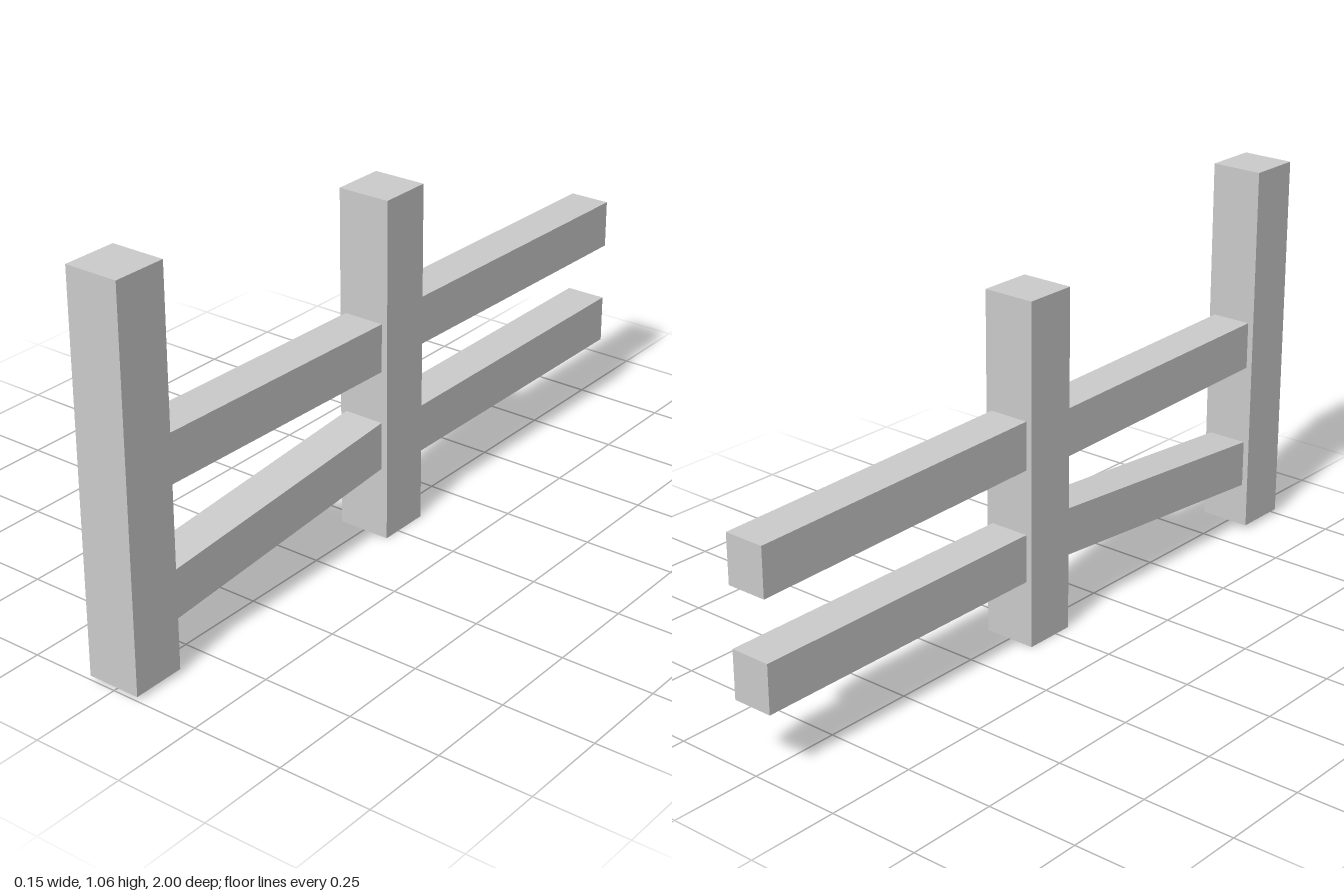
import * as THREE from 'three';

const material = new THREE.MeshStandardMaterial({ color: 0xcccccc, flatShading: true, side: THREE.DoubleSide });

// Box side numbers, in the order BoxGeometry stores them (6 indices per side)
const BOTTOM = 3, FRONT = 4, BACK = 5;

// A box without the listed sides
function openBox(w, h, d, missing) {
  const g = new THREE.BoxGeometry(w, h, d);
  const index = Array.from(g.index.array);
  g.setIndex(index.filter((_, i) => !missing.includes(Math.floor(i / 6))));
  g.clearGroups();
  return g;
}

// Upright post, open underneath
function post(name, z, bottom, top) {
  const mesh = new THREE.Mesh(openBox(0.148, top - bottom, 0.148, [BOTTOM]), material);
  mesh.name = name;
  mesh.position.set(0, (bottom + top) / 2, z);
  return mesh;
}

// Rail from zFront to zBack whose centre height runs from yFront to yBack, with plumb-cut ends
function rail(name, zFront, zBack, yFront, yBack, missing) {
  const length = zFront - zBack;
  const g = openBox(0.114, 0.132, length, missing);
  const p = g.attributes.position;
  const slope = (yFront - yBack) / length;
  for (let i = 0; i < p.count; i++) p.setY(i, p.getY(i) + p.getZ(i) * slope);
  g.computeVertexNormals();
  const mesh = new THREE.Mesh(g, material);
  mesh.name = name;
  mesh.position.set(0, (yFront + yBack) / 2, (zFront + zBack) / 2);
  return mesh;
}

export function createModel() {
  const fence = new THREE.Group();
  fence.name = 'fence';

  fence.add(
    // Posts
    post('frontPost', 0.926, 0.012, 1.056),
    post('middlePost', -0.024, 0, 0.941),
    // Rails between the posts
    rail('frontUpperRail', 0.853, 0.05, 0.557, 0.541, [FRONT, BACK]),
    rail('frontLowerRail', 0.853, 0.05, 0.2, 0.265, [FRONT, BACK]),
    // Rails running free behind the middle post
    rail('backUpperRail', -0.098, -1, 0.557, 0.541, [FRONT]),
    rail('backLowerRail', -0.098, -1, 0.247, 0.247, [FRONT])
  );
  return fence;
}
